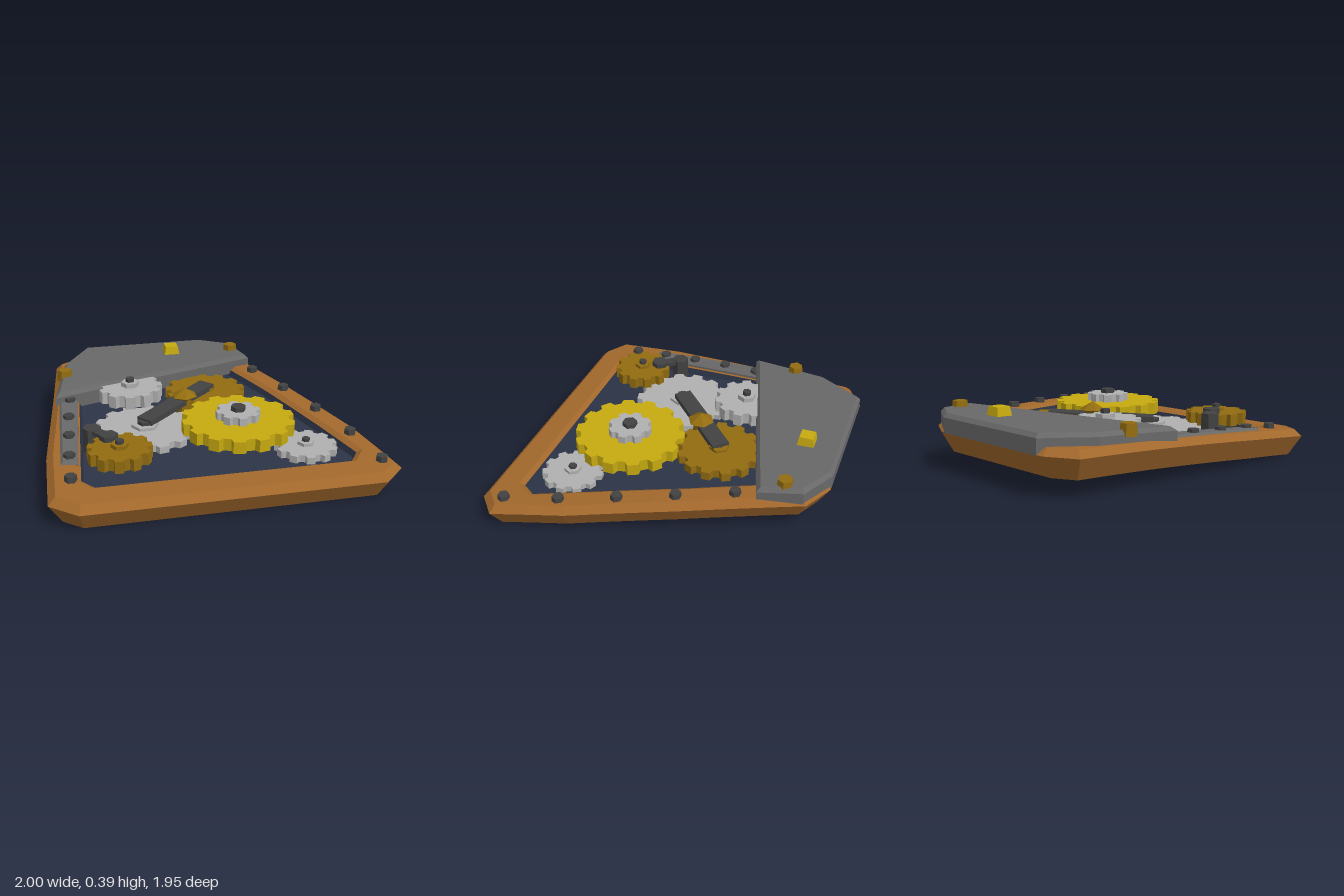
import * as THREE from 'three';

const paint = (name, color) => { const m = new THREE.MeshStandardMaterial({ color }); m.name = name; return m; };

// Gentle lengthwise bow shared by the whole case
const bow = z => 0.068 - 0.058 * z - 0.019 * z * z;

// Split every edge of a closed outline into n pieces
function subdivide(pts, n) {
  return pts.flatMap((p, i) => {
    const q = pts[(i + 1) % pts.length];
    return Array.from({ length: n }, (_, k) => [p[0] + (q[0] - p[0]) * k / n, p[1] + (q[1] - p[1]) * k / n]);
  });
}

// Move an outline inward by d with mitred corners
function inset(pts, d) {
  const N = pts.length;
  const normal = (a, b) => { const l = Math.hypot(b[0] - a[0], b[1] - a[1]); return [(b[1] - a[1]) / l, (a[0] - b[0]) / l]; };
  return pts.map((p, i) => {
    const m = normal(pts[(i + N - 1) % N], p), n = normal(p, pts[(i + 1) % N]);
    const k = d / (1 + m[0] * n[0] + m[1] * n[1]);
    return [p[0] - (m[0] + n[0]) * k, p[1] - (m[1] + n[1]) * k];
  });
}

// Skin a stack of [outline, height] rings that follows the bow, with optional caps
function loft(rings, top, bottom) {
  const out = [];
  const at = ([o, y], i) => { const p = o[i % o.length]; return [p[0], y + bow(p[1]), p[1]]; };
  for (let r = 0; r + 1 < rings.length; r++) {
    const a = rings[r], b = rings[r + 1];
    for (let i = 0; i < a[0].length; i++)
      out.push(...at(a, i), ...at(b, i), ...at(a, i + 1), ...at(a, i + 1), ...at(b, i), ...at(b, i + 1));
  }
  const cap = (ring, up) => {
    const v = ring[0].map(p => new THREE.Vector2(p[0], p[1]));
    for (const [a, b, c] of THREE.ShapeUtils.triangulateShape(v, [])) {
      const faceUp = THREE.ShapeUtils.area([v[a], v[b], v[c]]) < 0;
      out.push(...at(ring, a), ...(faceUp === up ? [...at(ring, b), ...at(ring, c)] : [...at(ring, c), ...at(ring, b)]));
    }
  };
  if (top) cap(rings[rings.length - 1], true);
  if (bottom) cap(rings[0], false);
  const g = new THREE.BufferGeometry();
  g.setAttribute('position', new THREE.Float32BufferAttribute(out, 3));
  g.computeVertexNormals();
  return g;
}

// Faceted column between two heights
function prism(r0, r1, y0, y1, sides = 6, turn = Math.PI / 6) {
  const g = new THREE.CylinderGeometry(r1, r0, y1 - y0, sides).toNonIndexed();
  g.rotateY(turn);
  g.translate(0, (y0 + y1) / 2, 0);
  g.computeVertexNormals();
  return g;
}

function gearGeometry(r, depth, teeth, y0, y1) {
  const s = new THREE.Shape(), step = Math.PI * 2 / teeth;
  for (let i = 0; i < teeth; i++)
    [[-0.33, 0], [-0.22, 1], [0.22, 1], [0.33, 0]].forEach(([f, t], k) => {
      const a = (i + f) * step, q = r - depth * (1 - t);
      s[i + k ? 'lineTo' : 'moveTo'](Math.cos(a) * q, Math.sin(a) * q);
    });
  s.closePath();
  const g = new THREE.ExtrudeGeometry(s, { depth: y1 - y0, bevelEnabled: false });
  g.rotateX(-Math.PI / 2);
  g.translate(0, y0, 0);
  return g;
}

export function createModel() {
  const wood = paint('copper brown', 0xa2682c), navy = paint('navy', 0x2b3346), gold = paint('yellow gold', 0xc6a910),
    bronze = paint('bronze', 0x926c10), silver = paint('silver', 0xb0b0b0), steel = paint('steel grey', 0x686868),
    iron = paint('dark iron', 0x424242);
  const model = new THREE.Group();
  const add = (name, geo, mat, x = 0, z = 0, parent = model) => {
    const m = new THREE.Mesh(geo, mat);
    m.name = name;
    m.position.set(x, 0, z);
    parent.add(m);
    return m;
  };

  // Case frame, recess and underside
  const outer = subdivide([[-0.68, -0.98], [0.225, -0.98], [0.41, -0.88], [0.68, -0.19], [0.9, 0.42], [1, 0.85],
    [0.865, 0.97], [-0.845, 0.97], [-1, 0.855], [-0.985, 0.4], [-0.905, -0.32], [-0.85, -0.88]], 4);
  const inner = subdivide([[-0.6, -0.8], [0.2, -0.8], [0.3, -0.75], [0.52, -0.2], [0.71, 0.34], [0.825, 0.68],
    [0.745, 0.79], [-0.755, 0.79], [-0.84, 0.69], [-0.815, 0.35], [-0.77, -0.25], [-0.71, -0.72]], 4);
  const base = inset(outer, 0.07), lip = inset(inner, 0.03), floor = inset(inner, 0.045);
  add('frame', loft([[base, 0], [outer, 0.125], [inset(outer, 0.042), 0.165], [inner, 0.165], [lip, 0.145]]), wood);
  add('recessFloor', loft([[lip, 0.145], [floor, 0.11]], true), navy);
  add('underside', loft([[base, 0]], false, true), navy);

  // Cover plate across the back and side rail
  const cover = subdivide([[-0.63, -0.98], [0.2, -0.98], [0.41, -0.86], [0.48, -0.6], [-0.89, -0.2], [-0.8, -0.7]], 3);
  add('coverPlate', loft([[cover, 0.12], [cover, 0.21], [inset(cover, 0.022), 0.234]], true, true), steel);
  const rail = subdivide([[-0.87, -0.21], [-0.75, -0.24], [-0.81, 0.545], [-0.91, 0.535]], 4);
  add('sideRail', loft([[rail, 0.12], [rail, 0.165], [inset(rail, 0.015), 0.178]], true, true), steel);

  // Bolts along both edges
  for (const [x, z] of [[0.475, -0.475], [0.6, -0.155], [0.715, 0.165], [0.82, 0.49], [0.89, 0.81],
    [-0.8, -0.22], [-0.825, 0.01], [-0.84, 0.24], [-0.855, 0.47], [-0.865, 0.695]])
    add('edgeBolt', prism(0.038, 0.034, bow(z) + 0.15, bow(z) + 0.197, 6, Math.PI / 2), iron, x, z);

  // Studs on the cover
  for (const [x, z] of [[0.38, -0.74], [-0.81, -0.5]])
    add('coverStud', prism(0.053, 0.044, bow(z) + 0.2, bow(z) + 0.27, 6, Math.PI / 2), bronze, x, z);
  add('squareStud', prism(0.075, 0.06, 0.325, 0.388, 4, Math.PI / 4), gold, -0.045, -0.765);

  // Gears: name, material, x, z, radius, tooth depth, teeth, bottom, top, hub radius, hub top, bolt radius, bolt top
  for (const [name, mat, x, z, r, d, n, y0, y1, hr, hy, br, by] of [
    ['largeSilverGear', silver, -0.375, 0.16, 0.31, 0.035, 14, 0.17, 0.212, 0.085, 0.23, 0.045, 0.25],
    ['backSilverGear', silver, -0.405, -0.275, 0.208, 0.03, 11, 0.225, 0.305, 0.058, 0.335, 0.028, 0.36],
    ['backBronzeGear', bronze, 0.09, -0.25, 0.262, 0.035, 13, 0.195, 0.25, 0.065, 0.268, 0.03, 0.275],
    ['mainGoldGear', gold, 0.17, 0.31, 0.342, 0.035, 14, 0.212, 0.287, 0.1, 0.29, 0.046, 0.362],
    ['frontBronzeGear', bronze, -0.575, 0.535, 0.187, 0.028, 11, 0.206, 0.278, 0.052, 0.3, 0.025, 0.322],
    ['frontSilverGear', silver, 0.525, 0.54, 0.187, 0.028, 11, 0.142, 0.185, 0.052, 0.205, 0.025, 0.222]]) {
    const g = new THREE.Group();
    g.name = name;
    g.position.set(x, 0, z);
    model.add(g);
    add('wheel', gearGeometry(r, d, n, y0, y1), mat, 0, 0, g);
    add('hub', prism(hr, hr, y1 - 0.01, hy, 6, Math.PI / 2), mat, 0, 0, g);
    add('axle', prism(br, br, bow(z) + 0.08, by, 6, Math.PI / 2), iron, 0, 0, g);
  }
  add('topSilverGear', gearGeometry(0.135, 0.022, 8, 0.287, 0.335), silver, 0.17, 0.31);

  // Connecting bars between two points
  const bar = (name, a, b, width, thick, y0, y1) => {
    const dx = b[0] - a[0], dz = b[1] - a[1], dy = y1 - y0, flat = Math.hypot(dx, dz);
    const m = add(name, new THREE.BoxGeometry(Math.hypot(flat, dy), thick, width), iron, (a[0] + b[0]) / 2, (a[1] + b[1]) / 2);
    m.position.y = (y0 + y1) / 2;
    m.rotation.set(0, -Math.atan2(dz, dx), Math.atan2(dy, flat), 'YXZ');
  };
  bar('crossBar', [-0.38, 0.165], [0.105, -0.265], 0.11, 0.035, 0.245, 0.272);

  // Pointed pivot on the bar
  add('pivotPost', prism(0.05, 0.05, 0.17, 0.29), bronze, -0.085, -0.07);
  add('pivotUnderside', prism(0.045, 0.085, 0.27, 0.295, 6, 0), bronze, -0.085, -0.07);
  add('pivotPoint', prism(0.085, 0, 0.295, 0.345, 6, 0), bronze, -0.085, -0.07);

  // Short link beside the front gear
  bar('link', [-0.71, 0.305], [-0.625, 0.425], 0.06, 0.025, 0.288, 0.288);
  add('linkPost', prism(0.055, 0.055, 0.14, 0.305), iron, -0.71, 0.305);
  add('linkPin', prism(0.055, 0.055, 0.27, 0.31), iron, -0.625, 0.425);

  return model;
}
